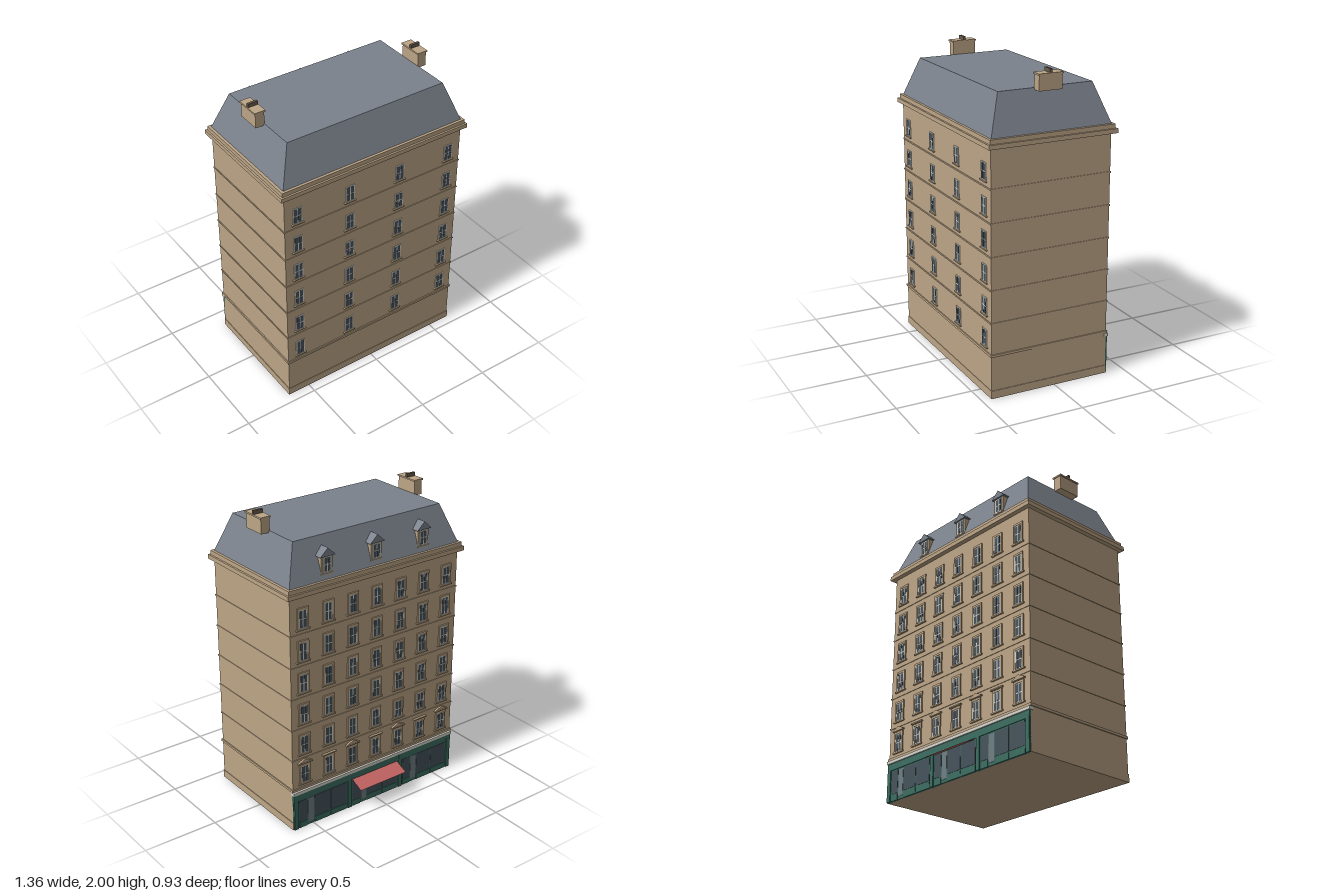
import * as THREE from 'three';

const mat = (name, color, side = THREE.FrontSide) => {
  const m = new THREE.MeshStandardMaterial({ color, side });
  m.name = name;
  return m;
};

export function createModel() {
  const stone = mat('stone', 0xbca586);
  const slate = mat('slate', 0x7b828c);
  const white = mat('white paint', 0xd6d5cc);
  const glass = mat('glass', 0x46525b);
  const doorGlass = mat('pale door glass', 0x717d84);
  const green = mat('shop green', 0x3c6e61);
  const red = mat('awning red', 0xc26363, THREE.DoubleSide);
  const clay = mat('chimney clay', 0x6a5c4c);

  const model = new THREE.Group();
  model.name = 'apartmentBuilding';

  const add = (parent, name, geo, material, x, y, z) => {
    const m = new THREE.Mesh(geo, material);
    m.name = name;
    m.position.set(x, y, z);
    parent.add(m);
    return m;
  };
  const box = (parent, name, material, w, h, d, x, y, z) =>
    add(parent, name, new THREE.BoxGeometry(w, h, d), material, x, y, z);
  const group = (parent, name, x = 0, y = 0, z = 0, ry = 0) => {
    const g = new THREE.Group();
    g.name = name;
    g.position.set(x, y, z);
    g.rotation.y = ry;
    parent.add(g);
    return g;
  };
  // Triangular prism facing +z, base centred at the origin
  const gable = (w, h, d) => new THREE.ExtrudeGeometry(
    new THREE.Shape([new THREE.Vector2(-w / 2, 0), new THREE.Vector2(w / 2, 0), new THREE.Vector2(0, h)]),
    { depth: d, bevelEnabled: false });

  // Main block with plinth, floor bands and stepped cornice
  const zc = 0.0325, floors = 6, pitch = 0.21;
  box(model, 'walls', stone, 1.3, 1.62, 0.805, 0, 0.81, zc);
  box(model, 'plinth', stone, 1.308, 0.052, 0.811, 0, 0.026, zc);
  for (let i = 0; i < floors; i++) {
    const e = i === 0 ? 0.014 : 0.008;
    box(model, 'floorBand', stone, 1.3 + e, i === 0 ? 0.016 : 0.009, 0.805 + e, 0, 0.284 + i * pitch, zc);
  }
  box(model, 'corniceLower', stone, 1.36, 0.028, 0.862, 0, 1.594, 0.03);
  box(model, 'corniceUpper', stone, 1.335, 0.028, 0.838, 0, 1.622, 0.03);

  // Mansard roof: a box whose upper corners are drawn inward
  const roofGeo = new THREE.BoxGeometry(1.3, 0.25, 0.805);
  const p = roofGeo.attributes.position;
  for (let i = 0; i < p.count; i++) {
    if (p.getY(i) > 0) p.setXYZ(i, Math.sign(p.getX(i)) * 0.56, p.getY(i), Math.sign(p.getZ(i)) * 0.315);
  }
  roofGeo.computeVertexNormals();
  add(model, 'mansardRoof', roofGeo, slate, 0, 1.76, 0.03);

  // Chimneys on both gable ends
  for (const s of [-1, 1]) {
    const c = group(model, 'chimney', s * 0.587, 0, 0.028);
    box(c, 'chimneyStack', stone, 0.06, 0.1, 0.155, 0, 1.922, 0);
    box(c, 'chimneyCap', stone, 0.072, 0.01, 0.165, 0, 1.971, 0);
    box(c, 'chimneyPots', clay, 0.066, 0.025, 0.016, 0, 1.9875, 0);
  }

  // Sash window: pale frame plate with four panes, bottom at the origin
  const sash = (parent, w, h) => {
    box(parent, 'windowFrame', white, w, h, 0.006, 0, h / 2, 0.002);
    const b = 0.006, pw = (w - 3 * b) / 2, ph = (h - 3 * b) / 2;
    for (const sx of [-1, 1]) for (const sy of [-1, 1]) {
      box(parent, 'pane', glass, pw, ph, 0.004, sx * (pw + b) / 2, h / 2 + sy * (ph + b) / 2, 0.004);
    }
  };

  // Plain side: four windows on each floor
  for (let f = 0; f < floors; f++) for (const x of [-0.56, -0.185, 0.185, 0.56]) {
    const w = group(model, 'plainWindow', x, 0.322 + f * pitch, 0.435);
    sash(w, 0.062, 0.11);
    box(w, 'sill', stone, 0.084, 0.007, 0.014, 0, -0.005, 0.004);
  }

  // Street side: seven framed windows on each floor, hoods on the lowest
  const street = group(model, 'streetFacade', 0, 0, -0.37, Math.PI);
  for (let f = 0; f < floors; f++) for (let c = -3; c <= 3; c++) {
    const w = group(street, 'streetWindow', c * 0.186, 0.322 + f * pitch, 0);
    sash(w, 0.058, 0.12);
    for (const s of [-1, 1]) box(w, 'jamb', stone, 0.012, 0.134, 0.016, s * 0.035, 0.06, 0);
    box(w, 'lintel', stone, 0.082, 0.014, 0.016, 0, 0.127, 0);
    box(w, 'sill', stone, 0.1, 0.009, 0.022, 0, -0.006, 0);
    if (f === 0) {
      box(w, 'hood', stone, 0.104, 0.008, 0.03, 0, 0.142, 0);
      if (c % 2) add(w, 'pediment', gable(0.104, 0.024, 0.013), stone, 0, 0.146, 0);
    }
  }

  // Shopfront in three bays
  const shop = group(street, 'shopfront');
  box(shop, 'shopBacking', green, 1.3, 0.25, 0.01, 0, 0.125, 0);
  box(shop, 'shopFascia', green, 1.3, 0.045, 0.02, 0, 0.2275, 0);
  box(shop, 'shopCornice', white, 1.308, 0.02, 0.032, 0, 0.262, 0);
  for (let i = 0; i < 4; i++) {
    box(shop, 'pilaster', green, 0.03, 0.25, 0.024, -0.632 + i * 0.4213, 0.125, 0);
  }
  for (let bay = 0; bay < 3; bay++) {
    const b = group(shop, 'shopBay', -0.632 + bay * 0.4213, 0, 0);
    for (const [x0, x1] of [[0.025, 0.085], [0.145, 0.262], [0.27, 0.396]]) {
      box(b, 'shopWindow', glass, x1 - x0, 0.15, 0.004, (x0 + x1) / 2, 0.122, 0.005);
      box(b, 'stallRiser', green, x1 - x0, 0.04, 0.016, (x0 + x1) / 2, 0.02, 0);
    }
    box(b, 'shopDoor', doorGlass, 0.044, 0.175, 0.004, 0.115, 0.108, 0.005);
  }

  // Sloping awning over the middle bay
  const awning = add(street, 'awning', new THREE.PlaneGeometry(0.375, 0.1), red, 0, 0.18, 0.05);
  awning.rotation.x = -Math.atan2(0.09, 0.04);

  // Three gabled dormers on the street slope
  for (const x of [-0.37, 0, 0.37]) {
    const d = group(street, 'dormer', x, 1.665, -0.012);
    box(d, 'dormerBody', stone, 0.084, 0.115, 0.05, 0, 0.0575, -0.025);
    sash(group(d, 'dormerWindow', 0, 0.012, 0), 0.056, 0.095);
    box(d, 'dormerSill', stone, 0.09, 0.008, 0.016, 0, 0.004, 0);
    add(d, 'dormerRoof', gable(0.114, 0.052, 0.075), slate, 0, 0.113, -0.063);
  }
  return model;
}
